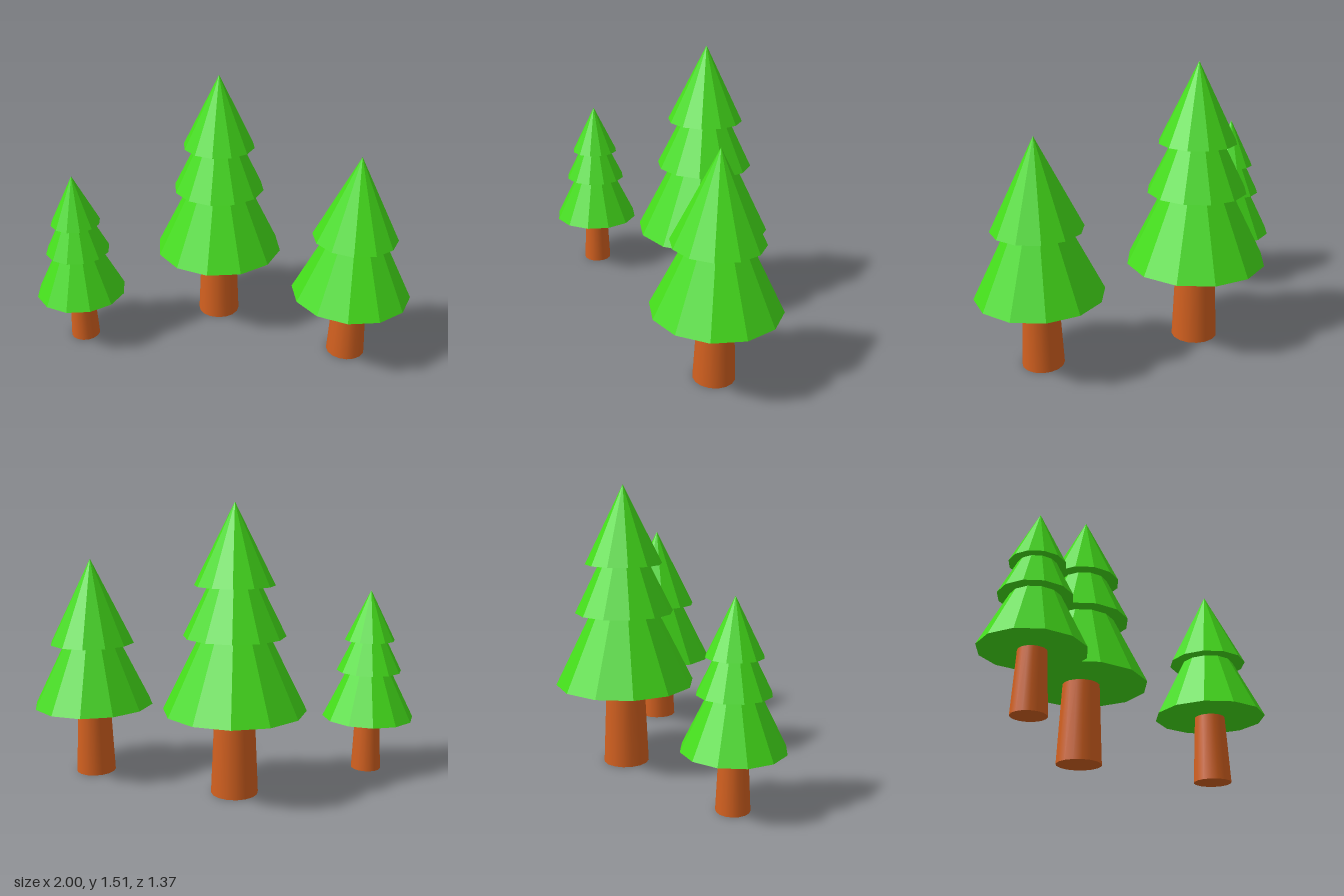
import * as THREE from 'three';

const leafMaterial = new THREE.MeshStandardMaterial({ color: 0x44dd1a, flatShading: true });
const barkMaterial = new THREE.MeshStandardMaterial({ color: 0xd2601f });

// Each tier is [base height, base radius]; the last one reaches the tip.
const TREES = [
  { name: 'tallTree', x: 0.112, z: -0.31, trunk: [0.105, 0.125], tip: 1.515,
    tiers: [[0.45, 0.375], [0.84, 0.265], [1.1, 0.207]] },
  { name: 'middleTree', x: 0.664, z: 0.353, trunk: [0.09, 0.11], tip: 1.208,
    tiers: [[0.393, 0.331], [0.742, 0.233]] },
  { name: 'smallTree', x: -0.744, z: -0.312, trunk: [0.069, 0.084], tip: 1.03,
    tiers: [[0.306, 0.256], [0.575, 0.181], [0.75, 0.139]] },
];

function addMesh(group, name, geometry, material, y) {
  const mesh = new THREE.Mesh(geometry, material);
  mesh.name = name;
  mesh.position.y = y;
  group.add(mesh);
}

function createTree({ name, x, z, trunk, tip, tiers }) {
  const tree = new THREE.Group();
  tree.name = name;
  tree.position.set(x, 0, z);

  // Tapered trunk, ending under the lowest branches
  const trunkHeight = tiers[0][0];
  addMesh(tree, 'trunk', new THREE.CylinderGeometry(trunk[0], trunk[1], trunkHeight, 16),
    barkMaterial, trunkHeight / 2);

  // Overlapping cones of foliage, all with the slope of the top one
  const [topBase, topRadius] = tiers[tiers.length - 1];
  const slope = (tip - topBase) / topRadius;
  tiers.forEach(([base, radius], i) => {
    const height = radius * slope;
    addMesh(tree, `foliageTier${i + 1}`, new THREE.ConeGeometry(radius, height, 12),
      leafMaterial, base + height / 2);
  });
  return tree;
}

export function createModel() {
  const grove = new THREE.Group();
  grove.name = 'pineGrove';
  TREES.forEach((spec) => grove.add(createTree(spec)));
  return grove;
}
